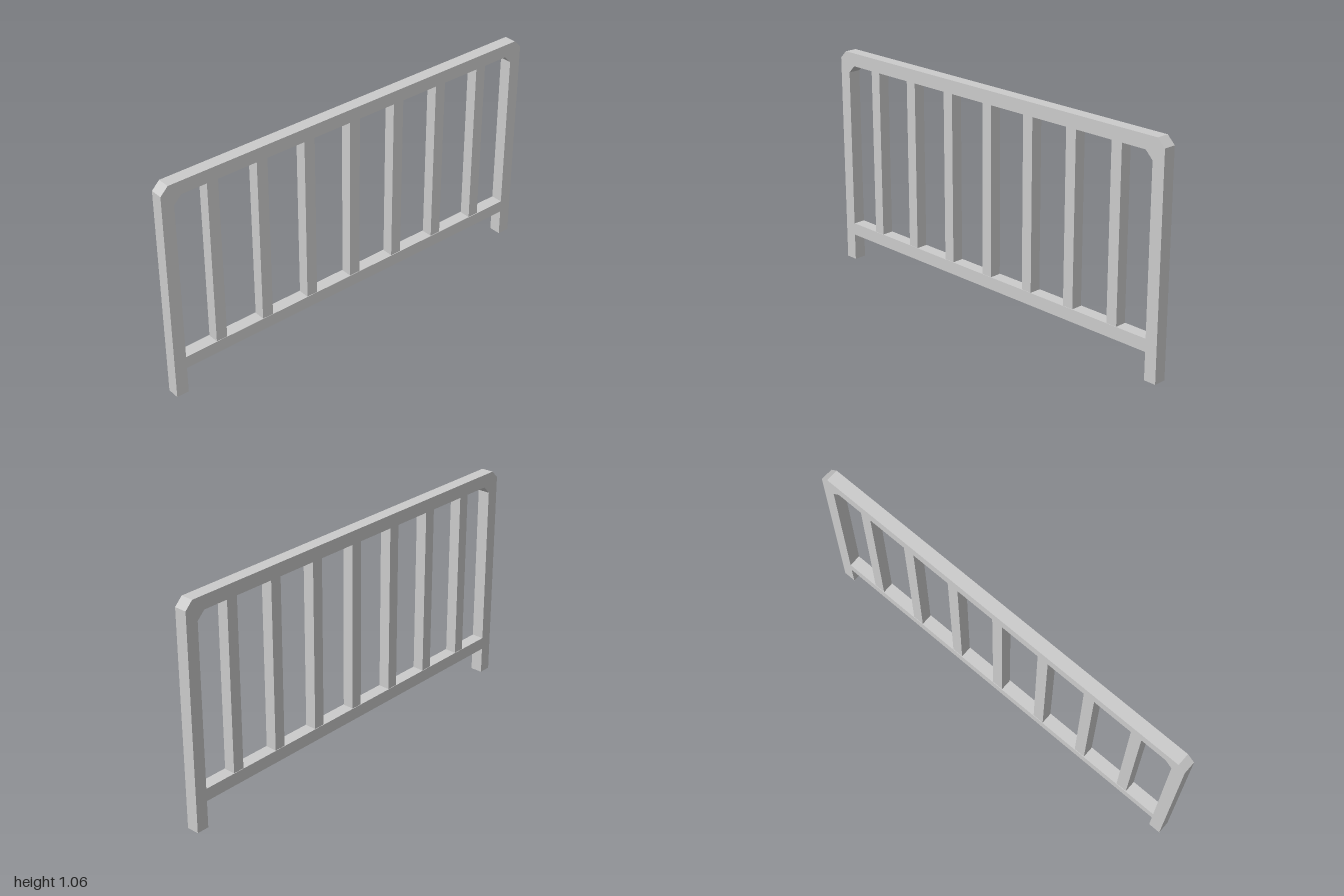
import * as THREE from 'three';

const DEPTH = 0.06;   // thickness of frame and rail along x
const HALF = 1;       // half length along z
const POST = 0.06;    // width of posts and top rail
const HEIGHT = 1.063;
const CUT = 0.037;    // corner chamfer

export function createModel() {
  const model = new THREE.Group();
  model.name = 'railing';
  const material = new THREE.MeshStandardMaterial({ color: 0xcccccc, flatShading: true });

  const add = (name, geometry, y = 0, z = 0) => {
    const mesh = new THREE.Mesh(geometry, material);
    mesh.name = name;
    mesh.position.set(0, y, z);
    model.add(mesh);
  };

  // Outer frame: two posts and the top rail as one arch with chamfered corners
  const inner = HALF - POST, under = HEIGHT - 0.063;
  const half = [
    [HALF, 0], [HALF, HEIGHT - CUT], [HALF - CUT, HEIGHT],
  ];
  const innerHalf = [
    [inner - CUT, under], [inner, under - CUT], [inner, 0],
  ];
  const mirror = (pts) => pts.map(([x, y]) => [-x, y]).reverse();
  const outline = [...half, ...mirror(half), ...mirror(innerHalf), ...innerHalf];
  const arch = new THREE.Shape(outline.map(([x, y]) => new THREE.Vector2(x, y)));
  const frame = new THREE.ExtrudeGeometry(arch, { depth: DEPTH, bevelEnabled: false });
  frame.translate(0, 0, -DEPTH / 2).rotateY(-Math.PI / 2);
  add('frame', frame);

  // Bottom rail between the posts
  const railBottom = 0.13, railTop = 0.19;
  add('bottomRail', new THREE.BoxGeometry(DEPTH, railTop - railBottom, inner * 2), (railBottom + railTop) / 2);

  // Seven evenly spaced balusters
  const baluster = new THREE.BoxGeometry(0.055, under - railTop, 0.055);
  for (let i = -3; i <= 3; i++) add('baluster', baluster, (under + railTop) / 2, i * 0.25);

  return model;
}
